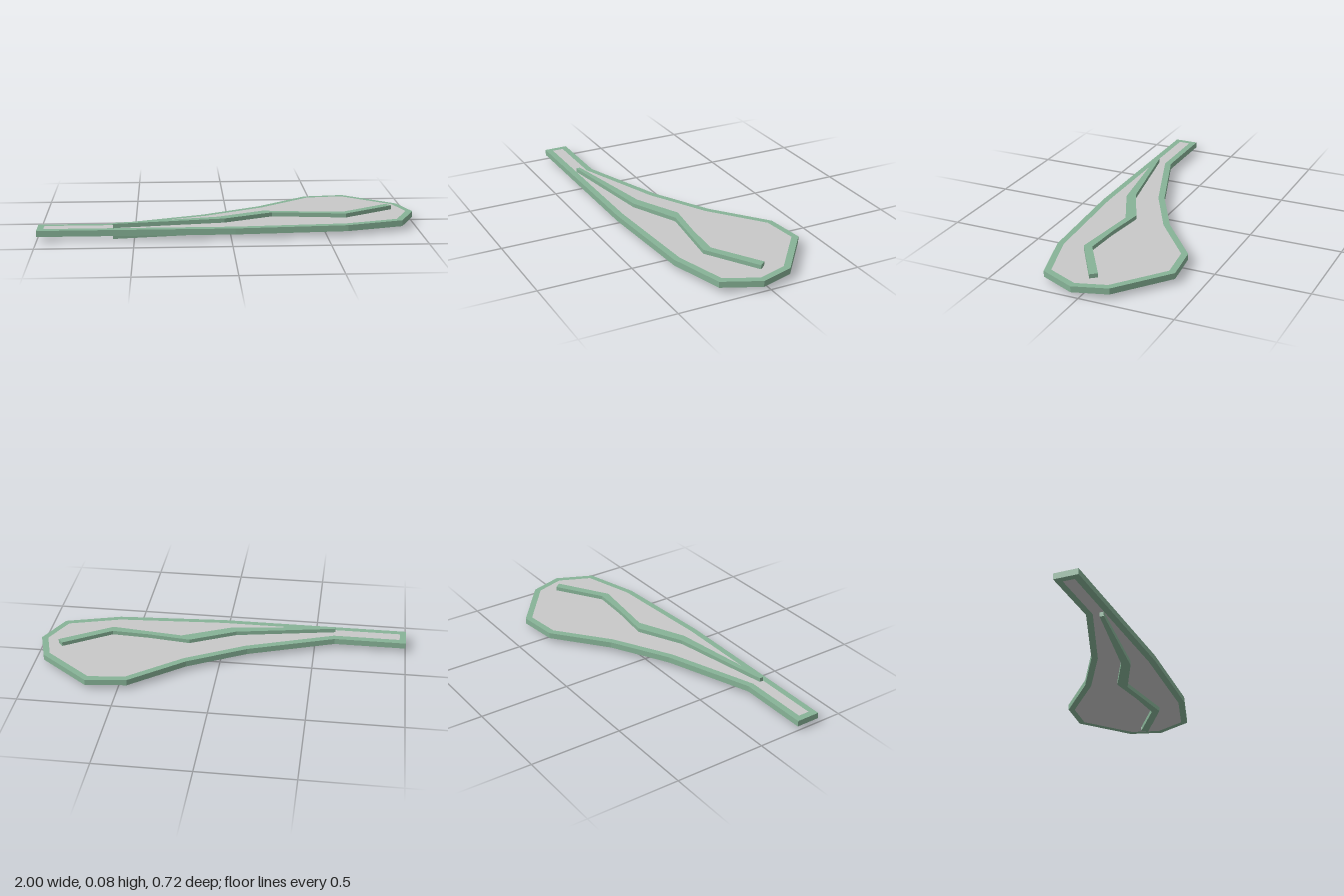
import * as THREE from 'three';

const green = new THREE.MeshStandardMaterial({ color: 0x87b397 });
green.name = 'sage green';
const grey = new THREE.MeshStandardMaterial({ color: 0xc8c8c8 });
grey.name = 'light grey';

// Plan outlines as [x, z]
const OUTLINE = [
  [-1, 0.23], [-0.61, 0.23], [-0.14, 0.06], [0.17, -0.11], [0.45, -0.335], [0.67, -0.36],
  [0.945, -0.14], [1, 0.04], [0.91, 0.235], [0.61, 0.322], [0.02, 0.36], [-1, 0.36],
];
const RIDGE = [
  [-0.61, 0.303], [-0.065, 0.2], [0.18, 0.08], [0.41, 0.108], [0.615, 0.12], [0.865, -0.04],
  [0.893, -0.006], [0.62, 0.165], [0.23, 0.12], [-0.03, 0.24], [-0.61, 0.325],
];
const BASE = 0.025, TOP = 0.057, RIDGE_TOP = 0.08;

const toShape = (pts) => new THREE.Shape(pts.map(([x, z]) => new THREE.Vector2(x, z)));

// Upright slab with a plan outline between two heights
function slab(name, pts, y0, y1, material) {
  const geo = new THREE.ExtrudeGeometry(toShape(pts), { depth: y1 - y0, bevelEnabled: false });
  geo.rotateX(Math.PI / 2).translate(0, y1, 0);
  const mesh = new THREE.Mesh(geo, material);
  mesh.name = name;
  return mesh;
}

// Move every edge of the outline inward by d with mitred corners
function inset(pts, d) {
  const n = pts.length;
  const normal = (a, b) => {
    const dx = b[0] - a[0], dz = b[1] - a[1], l = Math.hypot(dx, dz);
    return [-dz / l, dx / l];
  };
  return pts.map((p, i) => {
    const a = normal(pts[(i + n - 1) % n], p), b = normal(p, pts[(i + 1) % n]);
    const k = d / (1 + a[0] * b[0] + a[1] * b[1]);
    return [p[0] + (a[0] + b[0]) * k, p[1] + (a[1] + b[1]) * k];
  });
}

// Flat painted face, facing up or down
function face(name, pts, y, up) {
  const geo = new THREE.ShapeGeometry(toShape(pts));
  geo.rotateX(Math.PI / 2).translate(0, y, 0);
  const mesh = new THREE.Mesh(geo, grey);
  mesh.name = name;
  if (up) { // reverse the winding so it shows from above
    const index = geo.index;
    for (let i = 0; i < index.count; i += 3) {
      const t = index.getX(i);
      index.setX(i, index.getX(i + 1));
      index.setX(i + 1, t);
    }
    geo.computeVertexNormals();
  }
  return mesh;
}

// Thin upright plate along the plan line from a to b
function sidePlate(name, a, b, y0, y1) {
  const dx = b[0] - a[0], dz = b[1] - a[1];
  const mesh = new THREE.Mesh(new THREE.BoxGeometry(Math.hypot(dx, dz), y1 - y0, 0.003), grey);
  mesh.position.set((a[0] + b[0]) / 2, (y0 + y1) / 2, (a[1] + b[1]) / 2);
  mesh.rotation.y = -Math.atan2(dz, dx);
  mesh.name = name;
  return mesh;
}

export function createModel() {
  const model = new THREE.Group();
  model.name = 'blade';

  // Flat body, its green edge left showing as a rim around the grey panels
  model.add(slab('body', OUTLINE, BASE, TOP, green));
  const panel = inset(OUTLINE, 0.034);
  model.add(face('topPanel', panel, TOP + 0.001, true));
  model.add(face('bottomPanel', panel, BASE - 0.001, false));

  // Zigzag ridge standing out above and below
  model.add(slab('ridge', RIDGE, 0, RIDGE_TOP, green));

  // Grey patches on the lower tip of the ridge
  model.add(sidePlate('ridgeTipSide', [0.78, 0.065], RIDGE[6], 0, BASE));
  model.add(sidePlate('ridgeTipEnd', RIDGE[5], RIDGE[6], 0, BASE));
  return model;
}
